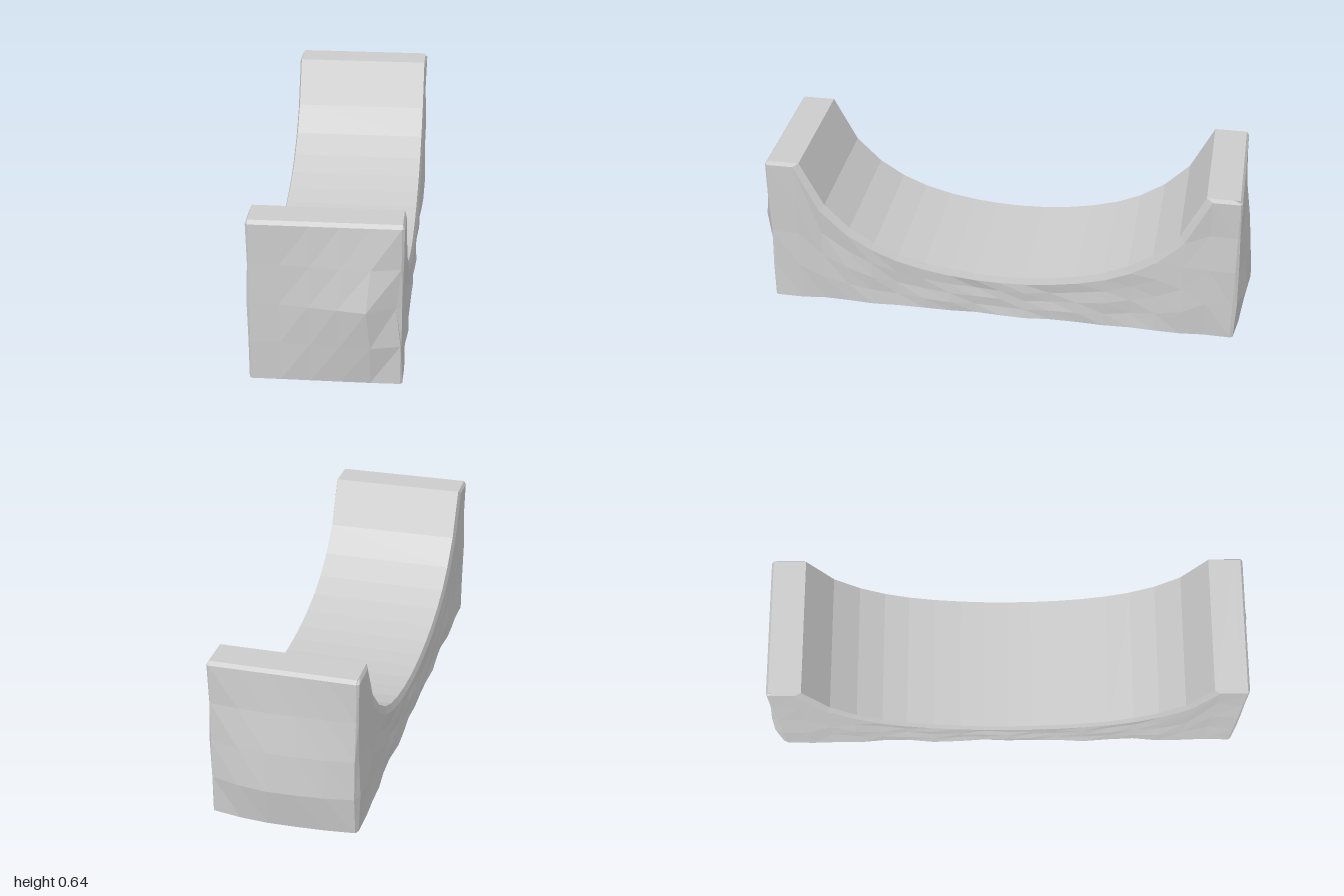
import * as THREE from 'three';

// Half of the ramp curve as [z, y], mirrored for the other half
const half = [[0, 0.19], [0.1, 0.193], [0.2, 0.203], [0.31, 0.222], [0.42, 0.252], [0.52, 0.295],
  [0.62, 0.36], [0.72, 0.46], [0.815, 0.645], [0.92, 0.645], [0.945, 0.645]];
const curve = [...half.slice(1).reverse().map(([z, y]) => [-z, y]), ...half];
const last = curve.length - 1;
const ROWS = 4, COLS = 5;

// Lower edge of the bevel, just inside the ramp curve
const trim = curve.map(([z, y]) => [
  Math.sign(z) * Math.min(Math.abs(z) * 1.03, 0.955),
  y === 0.645 ? 0.63 : y - 0.027,
]);

const hat = (x, c, w) => Math.max(0, 1 - Math.abs(x - c) / w);
const lerp = THREE.MathUtils.lerp;

// Flat-shaded patch of (nu x nv) cells
function patch(name, nu, nv, point, flip) {
  const pos = [], index = [];
  for (let i = 0; i <= nu; i++) for (let j = 0; j <= nv; j++) pos.push(...point(i, j));
  for (let i = 0; i < nu; i++) for (let j = 0; j < nv; j++) {
    const a = i * (nv + 1) + j, b = a + nv + 1;
    index.push(...(flip ? [a, b + 1, b, a, a + 1, b + 1] : [a, b, b + 1, a, b + 1, a + 1]));
  }
  let geo = new THREE.BufferGeometry();
  geo.setAttribute('position', new THREE.Float32BufferAttribute(pos, 3));
  geo.setIndex(index);
  geo = geo.toNonIndexed();
  geo.computeVertexNormals();
  const mesh = new THREE.Mesh(geo, new THREE.MeshStandardMaterial({ color: 0xcccccc, flatShading: true }));
  mesh.name = name;
  return mesh;
}

// Rough-hewn side wall: station i along z, row j upward
function wallPoint(s, i, j) {
  const [z0, top] = trim[i], v = j / ROWS, y = top * v;
  if (i === 0 || i === last) {
    const e = Math.sign(z0);
    const bulge = e > 0 ? (s > 0 ? 0 : 0.006) : (s > 0 ? 0.012 : 0.03);
    const dent = s > 0 && e > 0 ? 0.018 * hat(y, 0.32, 0.15) : 0;
    return [s * (0.278 - dent), y, z0 + e * bulge * hat(y, 0.2, 0.3)];
  }
  if (j === ROWS) return [s * 0.288, y, z0];
  const wave = 0.004 * Math.sin(i * 2.1 + s) + 0.003 * Math.sin(i * 1.3 + j * 2.2 + s * 2);
  const swell = 0.012 * hat(z0, -0.8, 0.22) * hat(y, 0.18, 0.4);
  return [s * (0.283 + wave + swell), y, z0];
}

// Bulging end wall: column i along x, row j upward
function endPoint(e, i, j) {
  const k = e > 0 ? last : 0, u = i / COLS;
  const a = wallPoint(-1, k, j), b = wallPoint(1, k, j);
  const x = lerp(a[0], b[0], u), y = a[1];
  let z = lerp(a[2], b[2], u);
  if (i > 0 && i < COLS && j < ROWS) {
    z += e > 0
      ? 0.055 * hat(x, 0.15, 0.33) * hat(y, 0.3, 0.31)
      : -0.045 * hat(x, 0.03, 0.4) * hat(y, 0.18, 0.42);
  }
  return [x, y, z];
}

export function createModel() {
  const group = new THREE.Group();
  group.name = 'halfPipe';

  // Curved riding surface with the two flat decks
  group.add(patch('ridingSurface', last, 1,
    (i, j) => [j ? 0.28 : -0.28, curve[i][1], curve[i][0]], false));

  // Side walls and the bevels along their upper edge
  for (const s of [-1, 1]) {
    const side = s > 0 ? 'left' : 'right';
    group.add(patch(side + 'Wall', last, ROWS, (i, j) => wallPoint(s, i, j), s > 0));
    group.add(patch(side + 'Bevel', last, 1,
      (i, j) => (j ? [s * 0.28, curve[i][1], curve[i][0]] : wallPoint(s, i, ROWS)), s > 0));
  }

  // End walls and their bevels
  for (const e of [-1, 1]) {
    const end = e > 0 ? 'front' : 'back';
    group.add(patch(end + 'Wall', COLS, ROWS, (i, j) => endPoint(e, i, j), e < 0));
    group.add(patch(end + 'Bevel', COLS, 1,
      (i, j) => (j ? [lerp(-0.28, 0.28, i / COLS), 0.645, e * 0.945] : endPoint(e, i, ROWS)), e < 0));
  }

  // Underside
  group.add(patch('base', last, 1, (i, j) => wallPoint(j ? 1 : -1, i, 0), true));
  for (const e of [-1, 1]) {
    group.add(patch(e > 0 ? 'frontBaseLip' : 'backBaseLip', COLS, 1, (i, j) => {
      const p = endPoint(e, i, 0);
      const k = e > 0 ? last : 0;
      return j ? [p[0], 0, lerp(wallPoint(-1, k, 0)[2], wallPoint(1, k, 0)[2], i / COLS)] : p;
    }, e > 0));
  }
  return group;
}
